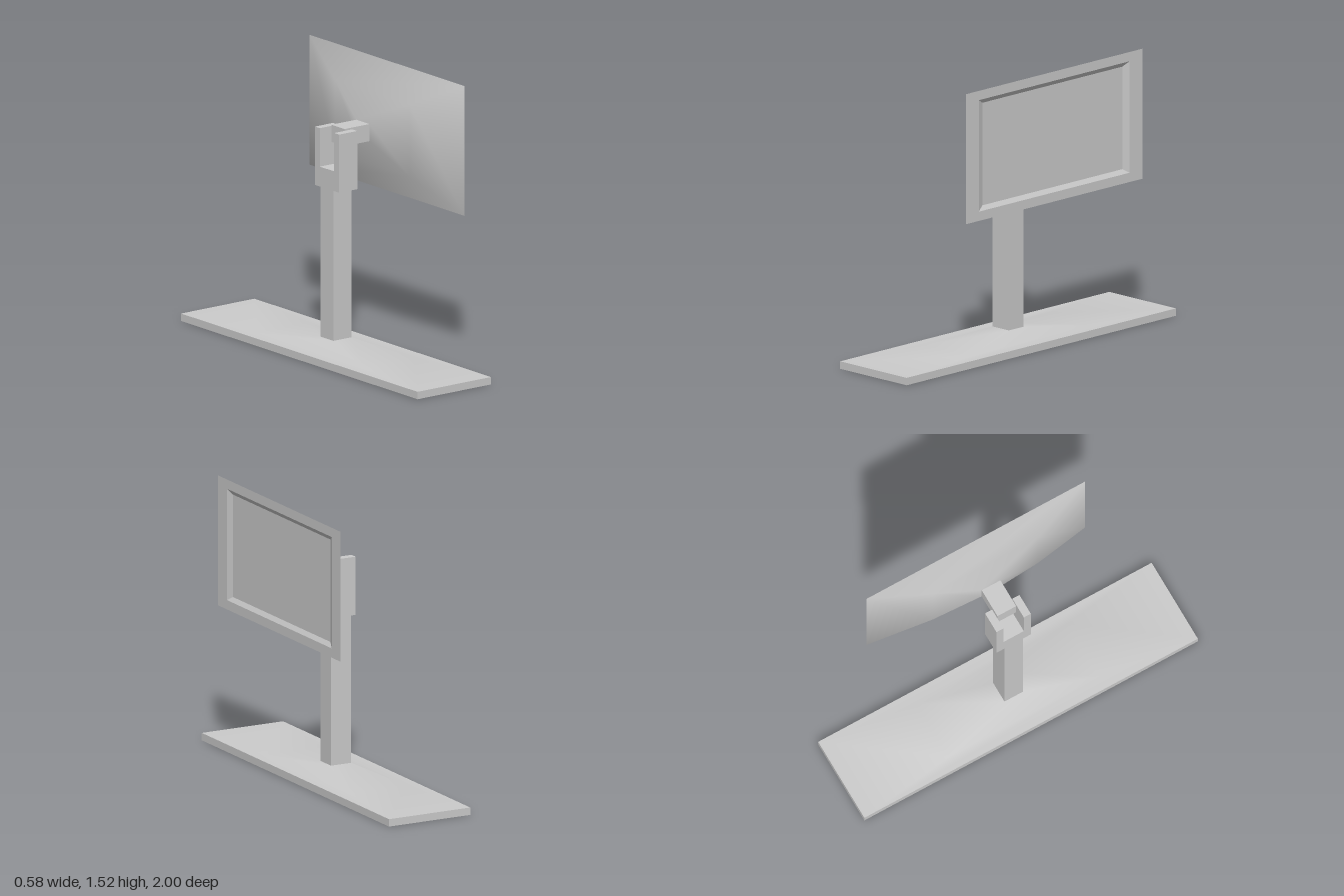
import * as THREE from 'three';
import { toCreasedNormals } from 'three/addons/utils/BufferGeometryUtils.js';

const material = new THREE.MeshStandardMaterial({ color: 0xcccccc });
const SCREEN_Y = 1.17;

// rectangular cross-sections, counter-clockwise about +y and +x
const rectY = (x0, x1, y, z) => [[x0, y, z], [x1, y, z], [x1, y, -z], [x0, y, -z]];
const rectX = (x, h, z) => [
  [x, SCREEN_Y - h, -z], [x, SCREEN_Y + h, -z], [x, SCREEN_Y + h, z], [x, SCREEN_Y - h, z],
];

// joins four-cornered rings into a skin, optionally capped at each end
function loft(rings, crease, capStart, capEnd) {
  const index = [];
  for (let r = 0; r < rings.length - 1; r++) {
    for (let i = 0; i < 4; i++) {
      const a = r * 4 + i, b = r * 4 + (i + 1) % 4;
      index.push(a, b, b + 4, a, b + 4, a + 4);
    }
  }
  const e = (rings.length - 1) * 4;
  if (capStart) index.push(0, 2, 1, 0, 3, 2);
  if (capEnd) index.push(e, e + 1, e + 2, e, e + 2, e + 3);
  const g = new THREE.BufferGeometry();
  g.setAttribute('position', new THREE.Float32BufferAttribute(rings.flat(2), 3));
  g.setIndex(index);
  return toCreasedNormals(g, crease);
}

export function createModel() {
  const model = new THREE.Group();
  model.name = 'monitorOnStand';

  const add = (name, geometry) => {
    const mesh = new THREE.Mesh(geometry, material);
    mesh.name = name;
    model.add(mesh);
  };
  const box = (name, x0, x1, y0, y1, z) => add(name,
    new THREE.BoxGeometry(x1 - x0, y1 - y0, 2 * z).translate((x0 + x1) / 2, (y0 + y1) / 2, 0));

  // long slab with a low hump rising to the post
  add('base', loft([
    rectY(-0.29, 0.195, 0, 1),
    rectY(-0.29, 0.195, 0.04, 1),
    rectY(-0.215, 0.12, 0.04, 0.45),
    rectY(-0.107, 0.013, 0.085, 0.055),
  ], 0.6, true, true));

  box('post', -0.107, 0.013, 0.08, 0.895, 0.055);

  // U-shaped fork, open at the top
  const u = new THREE.Shape([
    [-0.103, 0.893], [0.103, 0.893], [0.103, 1.207], [0.061, 1.207],
    [0.061, 1.0], [-0.061, 1.0], [-0.061, 1.207], [-0.103, 1.207],
  ].map(([x, y]) => new THREE.Vector2(x, y)));
  add('fork', new THREE.ExtrudeGeometry(u, { depth: 0.12, bevelEnabled: false })
    .rotateY(Math.PI / 2).translate(-0.107, 0, 0));

  box('arm', -0.035, 0.132, 1.123, 1.215, 0.056);

  // tapering back shell
  add('screenBack', loft([
    rectX(0.13, 0.046, 0.056),
    rectX(0.192, 0.195, 0.315),
    rectX(0.29, 0.35, 0.655),
  ], 0.8, true, false));

  // bezel with a shallow sunken display
  add('screenFront', loft([
    rectX(0.29, 0.35, 0.655),
    rectX(0.29, 0.3, 0.56),
    rectX(0.276, 0.276, 0.52),
  ], 0.1, false, true));

  return model;
}
